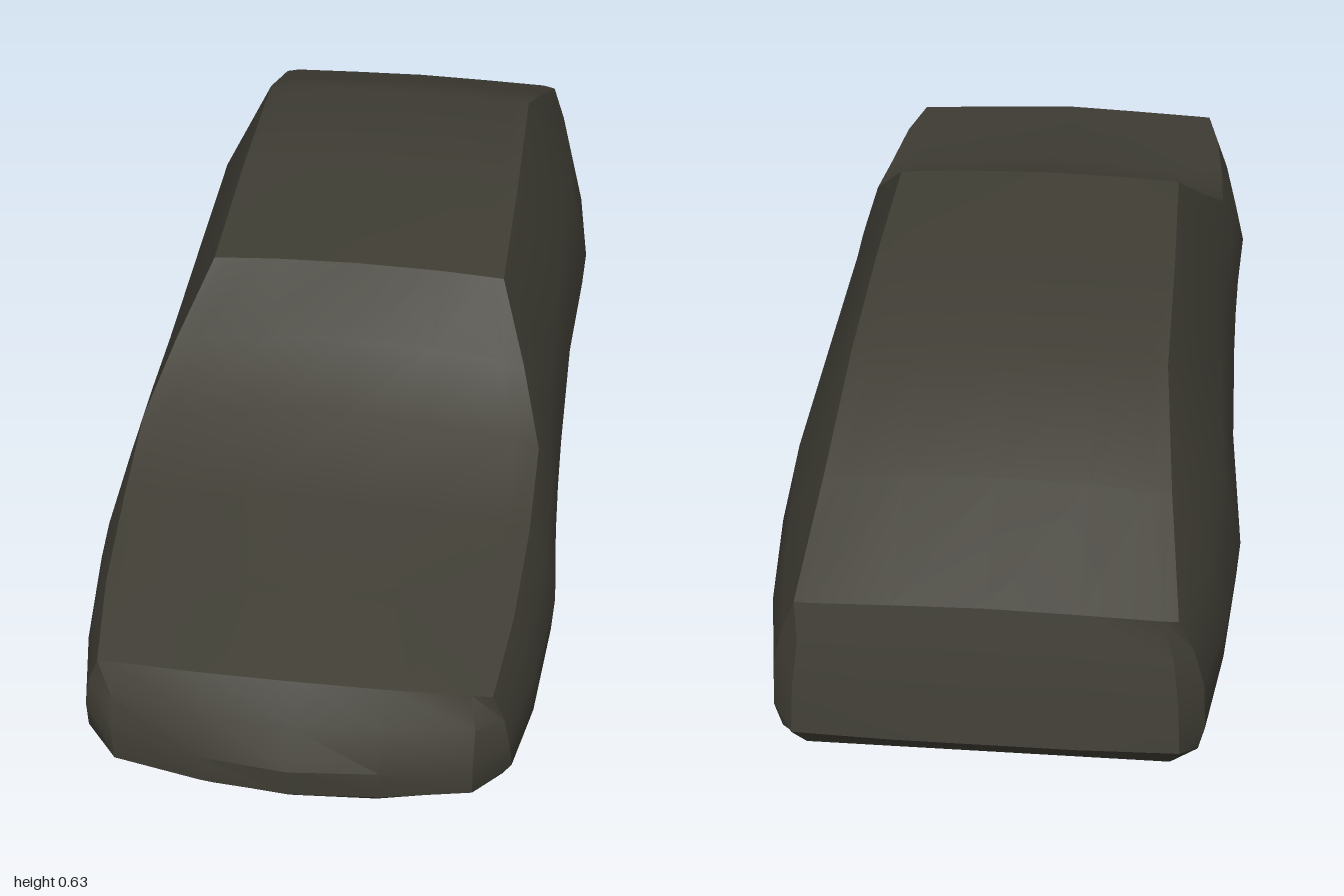
import * as THREE from 'three';
import { toCreasedNormals } from 'three/addons/utils/BufferGeometryUtils.js';

const mat = (name, color, side = THREE.FrontSide) => {
  const m = new THREE.MeshStandardMaterial({ color, side });
  m.name = name;
  return m;
};

// Grid surface through rows of [x, y, z] points
function patch(rows) {
  const n = rows[0].length, index = [];
  for (let i = 0; i < rows.length - 1; i++)
    for (let j = 0; j < n - 1; j++) {
      const a = i * n + j, b = a + 1, c = a + n, d = c + 1;
      index.push(a, c, b, b, c, d);
    }
  const g = new THREE.BufferGeometry();
  g.setAttribute('position', new THREE.Float32BufferAttribute(rows.flat(2), 3));
  g.setIndex(index);
  return toCreasedNormals(g, 0.5);
}
const flip = ([x, y, z]) => [-x, y, z];
// Mirror a list of columns that ends on the centre line
const mirrorColumns = cols => [...cols, ...cols.slice(0, -1).reverse().map(c => c.map(flip))];

export function createModel() {
  const root = new THREE.Group();
  root.name = 'coveredCar';
  const cover = mat('cover cloth', 0x403e35, THREE.DoubleSide);
  const tyre = mat('tyre rubber', 0x2b2b27);
  const rim = mat('tan wheel metal', 0x8a7460);
  const under = mat('underbody black', 0x272824);
  const steel = mat('chassis grey', 0x3a3b36);
  const rust = mat('exhaust red brown', 0x6b3a31);
  const darkRed = mat('dark red panel', 0x3c2020);
  const tan = mat('tan trim', 0x8a7662);

  const add = (name, geo, material, parent = root) => {
    const m = new THREE.Mesh(geo, material);
    m.name = name;
    parent.add(m);
    return m;
  };
  const box = (name, material, w, h, d, x, y, z, parent) => {
    const m = add(name, new THREE.BoxGeometry(w, h, d), material, parent);
    m.position.set(x, y, z);
    return m;
  };

  // Cloth: columns of the nose and tail, from the side to the centre, hem upwards
  const nose = [
    [[.345, .125, .85], [.36, .18, .88], [.355, .25, .9], [.345, .31, .905], [.325, .365, .91]],
    [[.29, .125, .90], [.30, .18, .95], [.30, .25, .955], [.30, .31, .935], [.29, .366, .912]],
    [[.14, .12, .93], [.15, .18, .98], [.15, .24, .985], [.15, .31, .955], [.15, .369, .92]],
    [[0, .12, .94], [0, .18, .993], [0, .24, 1], [0, .31, .965], [0, .373, .925]],
  ];
  const tail = [
    [[.345, .125, -.92], [.355, .18, -.93], [.35, .27, -.93], [.33, .35, -.935], [.305, .415, -.95]],
    [[.30, .12, -.95], [.315, .18, -.995], [.31, .27, -.985], [.30, .35, -.97], [.28, .418, -.955]],
    [[.15, .12, -.95], [.15, .18, -1], [.15, .27, -.987], [.15, .35, -.972], [.15, .422, -.955]],
    [[0, .12, -.95], [0, .18, -1], [0, .27, -.987], [0, .35, -.972], [0, .425, -.955]],
  ];
  // z, hem x, low x, belt x, shoulder x y, top edge x y, centre y
  const stations = [
    [.75, .365, .387, .385, .368, .325, .345, .388, .402],
    [.55, .38, .404, .408, .388, .34, .356, .408, .44],
    [.37, .38, .393, .398, .385, .36, .358, .445, .483],
    [.24, .38, .388, .394, .373, .40, .318, .53, .562],
    [.11, .38, .386, .392, .362, .43, .268, .624, .635],
    [-.2, .38, .386, .392, .362, .435, .27, .625, .635],
    [-.53, .38, .403, .407, .368, .42, .268, .62, .631],
    [-.75, .365, .383, .385, .352, .39, .285, .515, .53],
  ];
  const endRing = cols => [...cols[0], ...cols.slice(1).map(c => c[4])];
  const halves = [
    endRing(nose),
    ...stations.map(([z, h, l, b, sx, sy, tx, ty, c]) => [
      [h, .12, z], [l, .18, z], [b, .255, z], [sx, sy, z], [tx, ty, z],
      [tx * .88, ty + (c - ty) * .2, z], [.15, ty + (c - ty) * .7, z], [0, c, z]]),
    endRing(tail),
  ];
  add('coverBody', patch(halves.map(h => [...h, ...h.slice(0, -1).reverse().map(flip)])), cover);
  add('coverNose', patch(mirrorColumns(nose).reverse()), cover);
  add('coverTail', patch(mirrorColumns(tail)), cover);

  // Wheels: tyre turned from a section, pierced rim and hub
  const tyreProfile = [[.078, -.03], [.105, -.037], [.122, -.034], [.13, -.022], [.13, .022],
    [.122, .034], [.105, .037], [.078, .03], [.078, -.03]].map(p => new THREE.Vector2(...p));
  const tyreGeo = toCreasedNormals(new THREE.LatheGeometry(tyreProfile, 24), 0.6).rotateZ(-Math.PI / 2);
  const disc = new THREE.Shape().absarc(0, 0, .08, 0, Math.PI * 2);
  for (let i = 0; i < 8; i++) {
    const a = i * Math.PI / 4;
    disc.holes.push(new THREE.Path().absarc(Math.cos(a) * .055, Math.sin(a) * .055, .012, 0, Math.PI * 2, true));
  }
  const rimGeo = new THREE.ExtrudeGeometry(disc, { depth: .012, bevelEnabled: false, curveSegments: 10 })
    .rotateY(Math.PI / 2);
  const hubGeo = new THREE.CylinderGeometry(.02, .026, .02, 12).rotateZ(-Math.PI / 2);
  const backGeo = new THREE.CylinderGeometry(.078, .078, .02, 20).rotateZ(Math.PI / 2);
  for (const [end, z] of [['front', .575], ['rear', -.605]])
    for (const s of [1, -1]) {
      const wheel = new THREE.Group();
      wheel.name = end + (s > 0 ? 'LeftWheel' : 'RightWheel');
      wheel.position.set(s > 0 ? .323 : -.334, .133, z);
      if (s < 0) wheel.rotation.y = Math.PI;
      root.add(wheel);
      add('tyre', tyreGeo, tyre, wheel);
      add('rim', rimGeo, rim, wheel).position.x = .012;
      add('hub', hubGeo, rim, wheel).position.x = .03;
      add('brakeDrum', backGeo, under, wheel).position.x = -.006;
      // Flap hanging behind the wheel
      box(end + 'MudFlap', under, .058, .075, .008, s * .269, .098, z - .165);
    }

  // Floor, sills, tunnel and cross members
  box('floorPan', under, .5, .02, 1.72, 0, .165, -.04);
  box('centreFloor', under, .7, .02, .84, 0, .162, -.01);
  box('frontFloor', under, .66, .02, .14, 0, .165, .79);
  box('rearFloor', under, .64, .02, .16, 0, .165, -.82);
  box('frontApron', under, .44, .022, .06, 0, .102, .83);
  box('apronWings', under, .56, .03, .05, 0, .13, .85);
  for (const s of [1, -1]) {
    box('sill', steel, .03, .04, .84, s * .345, .135, -.01);
    box('sillTrim', tan, .008, .018, .84, s * .365, .123, -.01);
    box('chassisRail', steel, .035, .03, 1.55, s * .2, .145, -.03);
    box('seatPanRib', steel, .02, .014, .4, s * .11, .15, .12);
    box('apronTrim', tan, .11, .008, .04, s * .1, .088, .83);
    box('wheelArchLiner', under, .02, .13, .3, s * .26, .21, .575);
    box('wheelArchLiner', under, .02, .13, .3, s * .26, .21, -.605);
    box('suspensionArm', steel, .2, .018, .035, s * .2, .12, .56);
    box('trailingArm', steel, .03, .022, .28, s * .25, .12, -.47);
  }
  for (const z of [.68, .4, -.38, -.78]) box('crossMember', steel, .62, .024, .04, 0, .142, z);
  box('rearPanel', darkRed, .26, .014, .16, .03, .147, -.52);
  box('sidePanel', darkRed, .12, .012, .22, -.27, .147, .1);
  box('sidePanel', darkRed, .12, .012, .16, -.27, .147, -.2);
  box('engineSump', under, .2, .05, .2, 0, .135, .56);

  // Axle tubes
  for (const z of [.575, -.605])
    add('axle', new THREE.CylinderGeometry(.014, .014, .6, 10).rotateZ(Math.PI / 2), steel)
      .position.set(0, .13, z);

  // Exhaust line with two silencers
  const pipe = new THREE.CatmullRomCurve3([[.11, .14, .62], [.1, .118, .45], [.01, .118, .3], [0, .118, .05],
    [.04, .118, -.3], [.12, .115, -.5], [.17, .13, -.75], [.17, .13, -.93]].map(p => new THREE.Vector3(...p)));
  add('exhaustPipe', new THREE.TubeGeometry(pipe, 48, .011, 8), rust);
  for (const [name, x, y, z, r, l] of [['middleSilencer', 0, .126, .11, .03, .18], ['rearSilencer', .17, .14, -.82, .034, .14]])
    add(name, new THREE.CylinderGeometry(r, r, l, 14).rotateX(Math.PI / 2), rust).position.set(x, y, z);

  return root;
}
